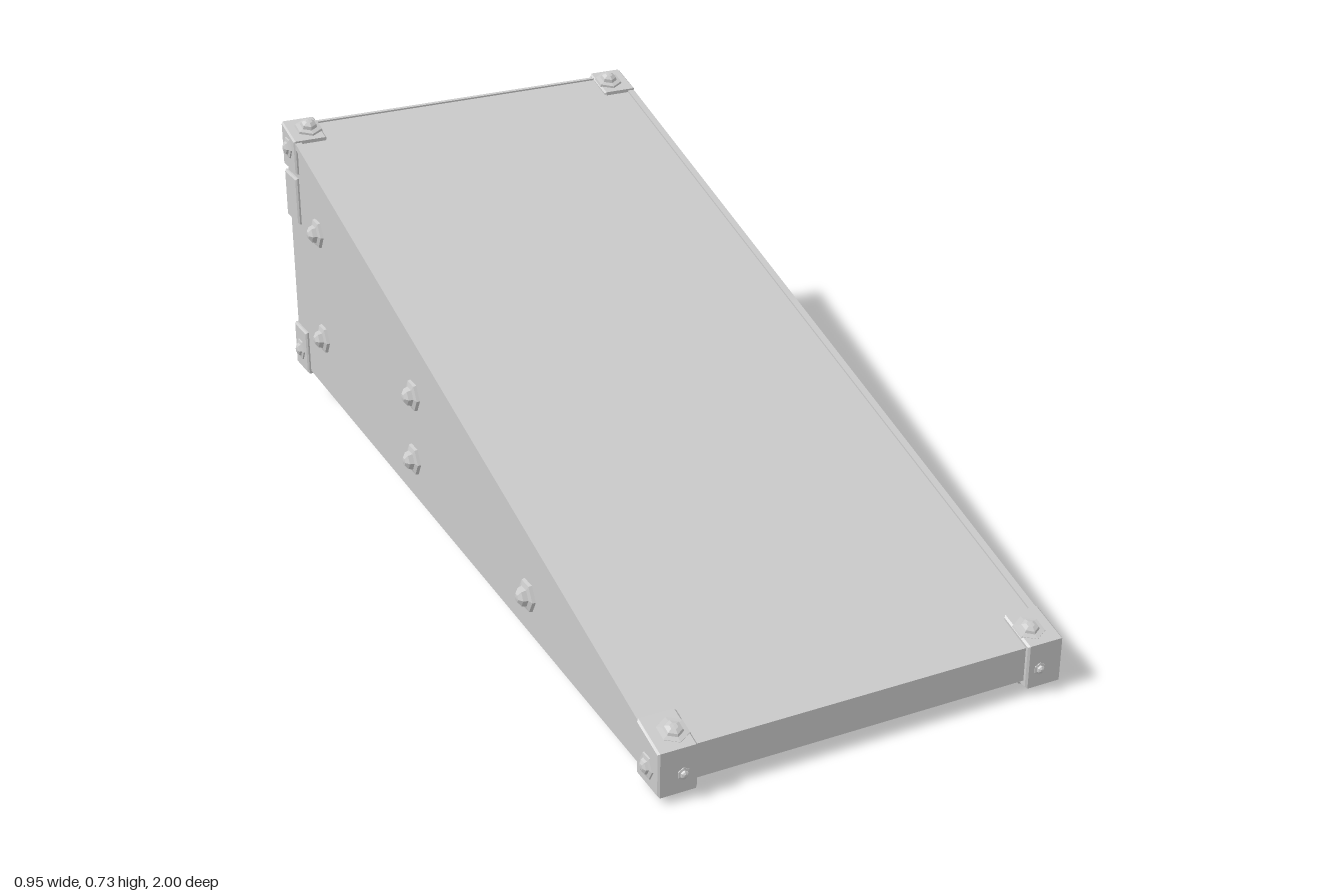
import * as THREE from 'three';

const rampY = z => 0.41 - 0.311 * z;      // top slope
const baseY = z => 0.064 + 0.035 * -z;    // lower edge slope

export function createModel() {
  const model = new THREE.Group();
  const mat = new THREE.MeshStandardMaterial({ color: 0xcccccc, side: THREE.DoubleSide });
  const facet = new THREE.MeshStandardMaterial({ color: 0xcccccc, flatShading: true });

  function add(name, geometry, material = mat) {
    const mesh = new THREE.Mesh(geometry, material);
    mesh.name = name;
    model.add(mesh);
    return mesh;
  }

  // Side profile given as [z, y] points, extruded from x0 to x1
  function slab(name, points, x0, x1, bevel = 0) {
    const shape = new THREE.Shape(points.map(p => new THREE.Vector2(p[0], p[1])));
    const geometry = new THREE.ExtrudeGeometry(shape, {
      depth: x1 - x0 - 2 * bevel, bevelEnabled: bevel > 0,
      bevelSize: bevel, bevelThickness: bevel, bevelOffset: -bevel, bevelSegments: 1,
    });
    geometry.rotateY(-Math.PI / 2).translate(x1 - bevel, 0, 0);
    return add(name, geometry);
  }

  // Hexagonal washer with a low domed head, pointing along dir
  const boltProfile = [[0, 0], [0.036, 0], [0.034, 0.008], [0.022, 0.011], [0.019, 0.021], [0.009, 0.028], [0, 0.029]]
    .map(p => new THREE.Vector2(p[0], p[1]));
  function bolt(name, x, y, z, dir, size = 1, height = 1) {
    const mesh = add(name, new THREE.LatheGeometry(boltProfile, 6), facet);
    mesh.position.set(x, y, z);
    mesh.quaternion.setFromUnitVectors(new THREE.Vector3(0, 1, 0), new THREE.Vector3(...dir).normalize());
    mesh.scale.set(size, height, size);
  }

  // Hollow wedge shell, open underneath
  const F = 0.98, B = -0.98, t = 0.012;
  slab('rampDeck', [[F, rampY(F) - t], [F, rampY(F)], [B, rampY(B)], [B, rampY(B) - t]], -0.44, 0.44);
  slab('frontPanel', [[F, baseY(F)], [F, rampY(F)], [F - t, rampY(F)], [F - t, baseY(F)]], -0.44, 0.44);
  slab('backPanel', [[B, baseY(B)], [B, rampY(B)], [B + t, rampY(B)], [B + t, baseY(B)]], -0.44, 0.44);

  for (const s of [-1, 1]) {
    const span = (a, b) => s > 0 ? [a, b] : [-b, -a];
    slab('sideWall', [[F, baseY(F)], [F, rampY(F)], [B, rampY(B)], [B, baseY(B)]], ...span(0.432, 0.445));
    slab('rampEdgeTrim', [[F, rampY(F) - 0.012], [F, rampY(F) + 0.004], [B, rampY(B) + 0.004], [B, rampY(B) - 0.012]],
      ...span(0.434, 0.45));

    // Corner brackets
    const w = span(0.37, 0.453);
    slab('frontCornerBracket', [[0.99, 0.015], [0.99, 0.112], [0.9, 0.138], [0.9, 0.018]], ...w, 0.004);
    slab('backTopBracket', [[-0.9, 0.615], [-0.9, 0.698], [-0.988, 0.722], [-0.988, 0.615]], ...w, 0.004);
    slab('backSecondBracket', [[-0.905, 0.485], [-0.905, 0.602], [-0.986, 0.602], [-0.986, 0.485]], ...w, 0.004);
    slab('backBottomBracket', [[-0.905, 0.088], [-0.905, 0.198], [-0.988, 0.198], [-0.988, 0.088]], ...w, 0.004);

    // Bolts on the brackets
    const side = [s, 0, 0], up = [0, 1, 0.311], x = s * 0.4;
    for (const [y, z] of [[0.062, 0.945], [0.67, -0.945], [0.14, -0.947]])
      bolt('bracketSideBolt', s * 0.452, y, z, side, 0.75, 0.5);
    bolt('bracketTopBolt', x, 0.122, 0.945, up, 0.95, 0.5);
    bolt('bracketTopBolt', x, 0.71, -0.945, up, 0.95, 0.75);
    bolt('bracketBottomBolt', x, 0.016, 0.945, [0, -1, 0], 0.95, 0.55);
    bolt('bracketFrontBolt', x, 0.055, 0.988, [0, 0, 1], 0.4, 0.4);
    for (const y of [0.665, 0.545, 0.142]) bolt('bracketBackBolt', x, y, -0.987, [0, 0, -1], 0.6, 0.45);

    // Bolts along the side wall
    for (const [z, y] of [[0.4, 0.138], [-0.2, 0.33], [-0.21, 0.168], [-0.785, 0.505], [-0.785, 0.232]])
      bolt('sideBolt', s * 0.444, y, z, side);
  }

  // Raised frame with clipped corners on the back
  const clipped = (T, w, h, c) => new T([[-w + c, -h], [w - c, -h], [w, -h + c], [w, h - c],
    [w - c, h], [-w + c, h], [-w, h - c], [-w, -h + c]].map(p => new THREE.Vector2(...p)));
  const frame = clipped(THREE.Shape, 0.258, 0.175, 0.008);
  frame.holes.push(clipped(THREE.Path, 0.245, 0.162, 0.03));
  add('backFrame', new THREE.ExtrudeGeometry(frame, { depth: 0.012, bevelEnabled: false }))
    .position.set(0, 0.353, -0.99);

  // Small loop on the inside of one wall
  const loop = add('innerLoop', new THREE.TorusGeometry(0.035, 0.006, 6, 14, Math.PI));
  loop.position.set(-0.432, 0.345, 0);
  loop.rotation.set(Math.PI / 2, 0, -Math.PI / 2);

  return model;
}
